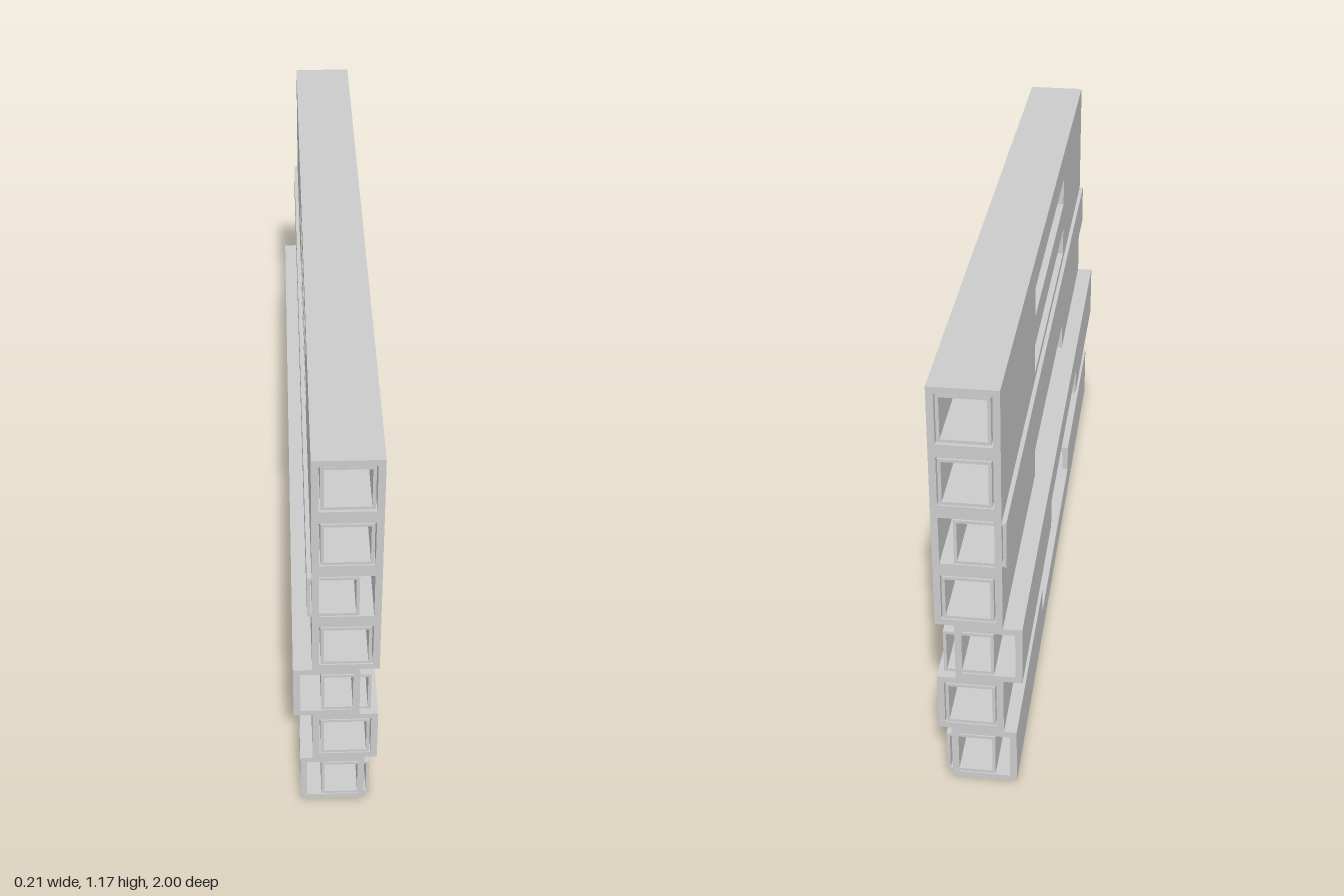
import * as THREE from 'three';

const PITCH = 1.167 / 7; // height of one row
const OUT = PITCH / 2;   // half width of an outer tube
const BORE = 0.066;      // half width of its hollow
const SLOT = [-0.335, 0.415];

const polygon = (pts) => pts.map(([x, y]) => new THREE.Vector2(x, y));
const square = (r) => polygon([[-r, -r], [r, -r], [r, r], [-r, r]]);

function ring(r, hole) {
  const shape = new THREE.Shape(square(r));
  shape.holes.push(new THREE.Path(square(hole).reverse()));
  return shape;
}

// Extrude a cross-section from z0 to z1
function bar(name, shape, z0, z1, material) {
  const geo = new THREE.ExtrudeGeometry(shape, { depth: z1 - z0, bevelEnabled: false });
  geo.translate(0, 0, z0);
  const mesh = new THREE.Mesh(geo, material);
  mesh.name = name;
  return mesh;
}

// Square tube with one lower corner cut away along the slot
function outerTube(material) {
  const tube = new THREE.Group();
  tube.name = 'outerTube';
  const full = ring(OUT, BORE);
  const cut = new THREE.Shape(polygon([
    [0, -OUT], [OUT, -OUT], [OUT, OUT], [-OUT, OUT], [-OUT, 0],
    [-BORE, 0], [-BORE, BORE], [BORE, BORE], [BORE, -BORE], [0, -BORE],
  ]));
  tube.add(
    bar('outerTubeFrontPart', full, SLOT[1], 1, material),
    bar('outerTubeSlottedPart', cut, SLOT[0], SLOT[1], material),
    bar('outerTubeBackPart', full, -1, SLOT[0], material),
  );
  return tube;
}

export function createModel() {
  const group = new THREE.Group();
  group.name = 'stackedTubes';
  const material = new THREE.MeshStandardMaterial({ color: 0xcccccc });

  // Rows from bottom to top: centres of both tubes, and turns of the outer one
  const rows = [
    { outer: -0.01, inner: 0.024, turnX: Math.PI },
    { outer: 0.0225, inner: 0.0225 },
    { outer: -0.025, inner: 0.024 },
    { outer: 0.0225, inner: 0.0225 },
    { outer: 0.0225, inner: -0.0095, turnY: Math.PI },
    { outer: 0.0225, inner: 0.0225 },
    { outer: 0.0225, inner: 0.0225, lift: 0.003 },
  ];
  rows.forEach(({ outer, inner, turnX = 0, turnY = 0, lift = 0 }, i) => {
    const y = (i + 0.5) * PITCH;
    const tube = outerTube(material);
    tube.position.set(outer, y, 0);
    tube.rotation.set(turnX, turnY, 0);

    const core = bar('innerTube', ring(0.0625, 0.0545), -1, 1, material);
    core.position.set(inner, y + lift, 0);
    group.add(tube, core);
  });
  return group;
}
